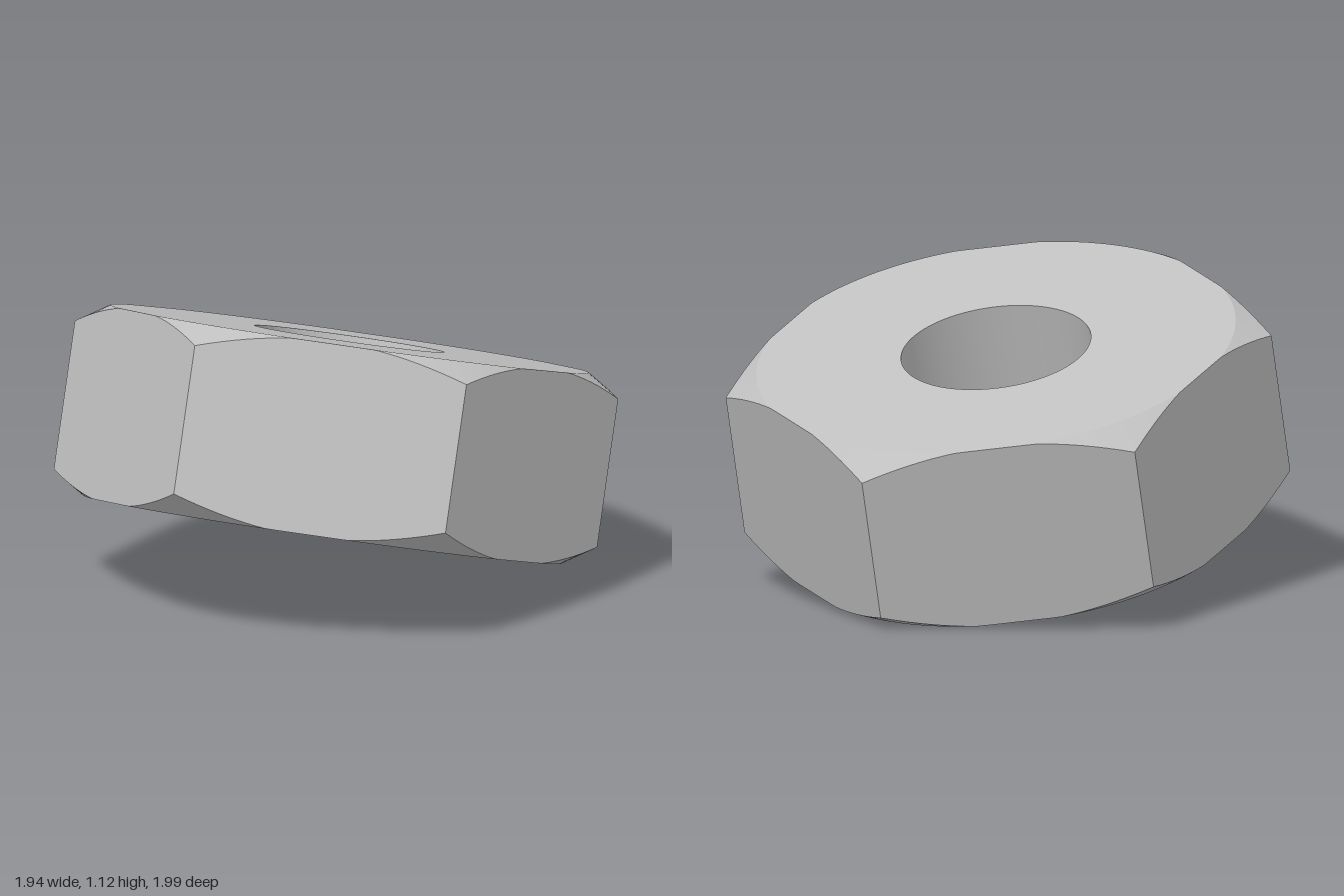
import * as THREE from 'three';
import { toCreasedNormals } from 'three/addons/utils/BufferGeometryUtils.js';

const HALF = 0.343;      // half thickness
const BORE = 0.341;      // hole radius
const CORNER = 0.979;    // radius to the hexagon corners
const FLAT = CORNER * Math.cos(Math.PI / 6);
const FACE = 0.86;       // radius where the chamfer starts
const SLOPE = 0.64;      // chamfer drop per unit of radius
const STEPS = 144;

// Distance from the axis to the hexagon outline, with a corner at angle 0
function hexRadius(a) {
  const side = Math.PI / 3;
  return FLAT / Math.cos((a % side) - side / 2);
}

// Rings: each gives [radius, height] at an angle
const rim = (s) => (a) => {
  const r = hexRadius(a);
  return [r, s * (HALF - SLOPE * Math.max(0, r - FACE))];
};
const face = (s) => (a) => [Math.min(FACE, hexRadius(a)), s * HALF];
const bore = (s) => () => [BORE, s * HALF];

// Surface between two rings, skipping collapsed triangles
function strip(ringA, ringB) {
  const point = (ring, i) => {
    const a = ((i % STEPS) / STEPS) * Math.PI * 2;
    const [r, y] = ring(a);
    return new THREE.Vector3(r * Math.sin(a), y, r * Math.cos(a));
  };
  const pos = [];
  const tri = (a, b, c) => {
    const area = b.clone().sub(a).cross(c.clone().sub(a)).length();
    if (area > 1e-7) for (const p of [a, b, c]) pos.push(p.x, p.y, p.z);
  };
  for (let i = 0; i < STEPS; i++) {
    const a0 = point(ringA, i), a1 = point(ringA, i + 1);
    const b0 = point(ringB, i), b1 = point(ringB, i + 1);
    tri(a0, a1, b1);
    tri(a0, b1, b0);
  }
  const geo = new THREE.BufferGeometry();
  geo.setAttribute('position', new THREE.Float32BufferAttribute(pos, 3));
  return toCreasedNormals(geo, 0.3);
}

export function createModel() {
  const steel = new THREE.MeshStandardMaterial({ color: 0xc0c0c0 });
  steel.name = 'steel grey';

  const nut = new THREE.Group();
  nut.name = 'hexNut';
  const add = (name, a, b) => {
    const mesh = new THREE.Mesh(strip(a, b), steel);
    mesh.name = name;
    nut.add(mesh);
  };
  add('hexSides', rim(-1), rim(1));
  add('topChamfer', rim(1), face(1));
  add('topFace', face(1), bore(1));
  add('boreWall', bore(1), bore(-1));
  add('bottomFace', bore(-1), face(-1));
  add('bottomChamfer', face(-1), rim(-1));

  // Tilt: the hole axis leans right and back, one corner points forward
  const axis = new THREE.Vector3(0.187, 0.965, -0.187).normalize();
  const corner = new THREE.Vector3(0.22, 0.128, 0.945);
  corner.addScaledVector(axis, -corner.dot(axis)).normalize();
  const across = new THREE.Vector3().crossVectors(axis, corner);
  nut.quaternion.setFromRotationMatrix(new THREE.Matrix4().makeBasis(across, axis, corner));
  nut.position.y = 0.555;

  const model = new THREE.Group();
  model.name = 'tiltedNut';
  model.add(nut);
  return model;
}
